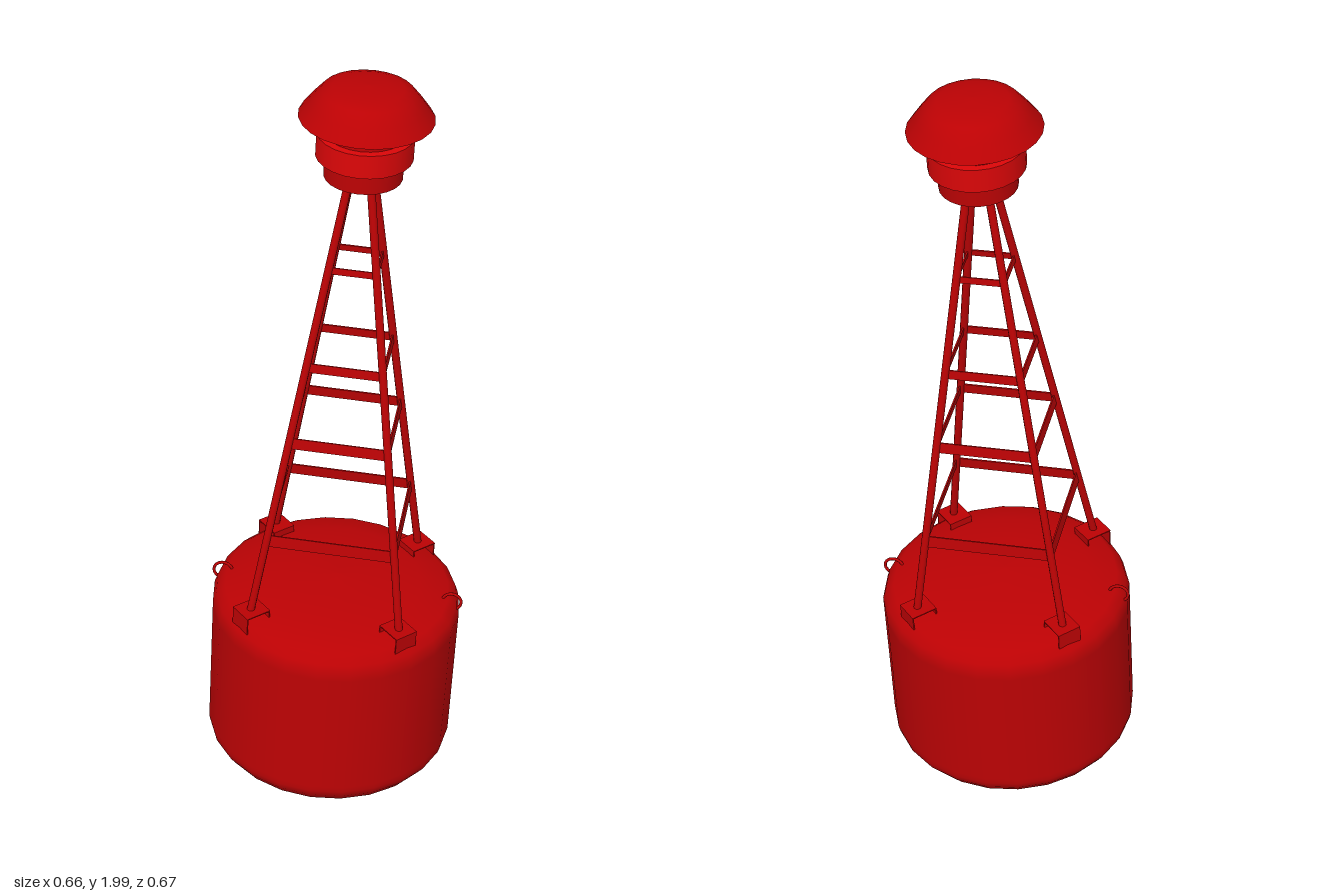
import * as THREE from 'three';

function paint(name, color) {
  const material = new THREE.MeshStandardMaterial({ color, side: THREE.DoubleSide });
  material.name = name;
  return material;
}
const red = paint('buoy red', 0xbc0204);
const brightRed = paint('lantern red', 0xdc0608);

function part(name, geometry, parent, x = 0, y = 0, z = 0, material = red) {
  const mesh = new THREE.Mesh(geometry, material);
  mesh.name = name;
  mesh.position.set(x, y, z);
  parent.add(mesh);
  return mesh;
}

const lathe = (points, sides) =>
  new THREE.LatheGeometry(points.map(([r, y]) => new THREE.Vector2(r, y)), sides);

// point on the leg at a compass angle (0 = front, quarter turns) and height
const LEG_BOTTOM = 0.54, LEG_TOP = 1.76;
function legPoint(quarter, y) {
  const r = THREE.MathUtils.mapLinear(y, LEG_BOTTOM, LEG_TOP, 0.275, 0.034);
  const a = quarter * Math.PI / 2;
  return new THREE.Vector3(Math.sin(a) * r, y, Math.cos(a) * r);
}

export function createModel() {
  const model = new THREE.Group();
  model.name = 'buoy';

  // whole buoy leans slightly, as if afloat
  const buoy = new THREE.Group();
  buoy.name = 'leaningBuoy';
  buoy.position.set(-0.005, 0.011, 0.013);
  buoy.rotation.set(-0.05, 0, -0.017);
  model.add(buoy);

  // float drum with rounded shoulders
  part('floatDrum', lathe([
    [0, -0.003], [0.15, 0.002], [0.25, 0.017], [0.303, 0.042], [0.322, 0.068],
    [0.326, 0.085], [0.326, 0.1], [0.326, 0.46], [0.326, 0.48], [0.318, 0.505],
    [0.295, 0.524], [0.22, 0.543], [0.12, 0.556], [0, 0.56],
  ], 24), buoy);

  // tower of four legs, each standing on a bent bracket
  const tower = new THREE.Group();
  tower.name = 'tower';
  tower.position.z = 0.006;
  buoy.add(tower);
  for (let q = 0; q < 4; q++) {
    const from = legPoint(q, LEG_BOTTOM), to = legPoint(q, LEG_TOP);
    const leg = part('leg', new THREE.CylinderGeometry(0.01, 0.01, from.distanceTo(to), 10), tower);
    leg.position.copy(from).add(to).multiplyScalar(0.5);
    leg.quaternion.setFromUnitVectors(new THREE.Vector3(0, 1, 0), to.clone().sub(from).normalize());

    const bracket = new THREE.Group();
    bracket.name = 'legBracket';
    bracket.rotation.y = q * Math.PI / 2;
    tower.add(bracket);
    part('bracketOuter', new THREE.BoxGeometry(0.065, 0.05, 0.003), bracket, 0, 0.533, 0.303);
    part('bracketTop', new THREE.BoxGeometry(0.065, 0.003, 0.07), bracket, 0, 0.557, 0.27);
    part('bracketInner', new THREE.BoxGeometry(0.065, 0.025, 0.003), bracket, 0, 0.546, 0.235);
  }

  // flat rungs on all four sides, leaning in with the legs
  const levels = [[0.762, 0.032], [1.042, 0.029], [1.252, 0.024], [1.513, 0.017]];
  for (const [y, height] of levels) {
    for (let q = 0; q < 4; q++) {
      const a = legPoint(q, y), b = legPoint(q + 1, y);
      const rung = part('rung', new THREE.BoxGeometry(a.distanceTo(b), height, 0.004), tower);
      rung.position.copy(a).add(b).multiplyScalar(0.5);
      rung.rotation.set(-0.135, (q + 0.5) * Math.PI / 2, 0, 'YXZ');
    }
  }

  // two lifting eyes on opposite shoulders
  for (const side of [1, -1]) {
    const eye = part('liftingEye', new THREE.TorusGeometry(0.025, 0.004, 8, 18), buoy,
      side * 0.217, 0.518, -side * 0.214);
    eye.rotation.y = Math.PI / 4;
  }

  // lantern: base, bright collar, neck and domed cap
  const lantern = new THREE.Group();
  lantern.name = 'lantern';
  lantern.position.set(0.002, 0, 0.003);
  buoy.add(lantern);
  part('lanternBase', new THREE.CylinderGeometry(0.095, 0.095, 0.06, 24), lantern, 0, 1.78, 0);
  part('lanternCollar', new THREE.CylinderGeometry(0.117, 0.117, 0.06, 24), lantern, 0, 1.834, 0, brightRed);
  part('lanternNeck', new THREE.CylinderGeometry(0.097, 0.097, 0.07, 24), lantern, 0, 1.89, 0);
  part('lanternCap', lathe([
    [0.162, 1.906], [0.136, 1.941], [0.11, 1.972], [0.085, 1.981], [0.045, 1.986], [0, 1.988],
  ], 24), lantern);
  const underside = part('capUnderside', new THREE.CircleGeometry(0.162, 24), lantern, 0, 1.906, 0);
  underside.rotation.x = Math.PI / 2;

  return model;
}
